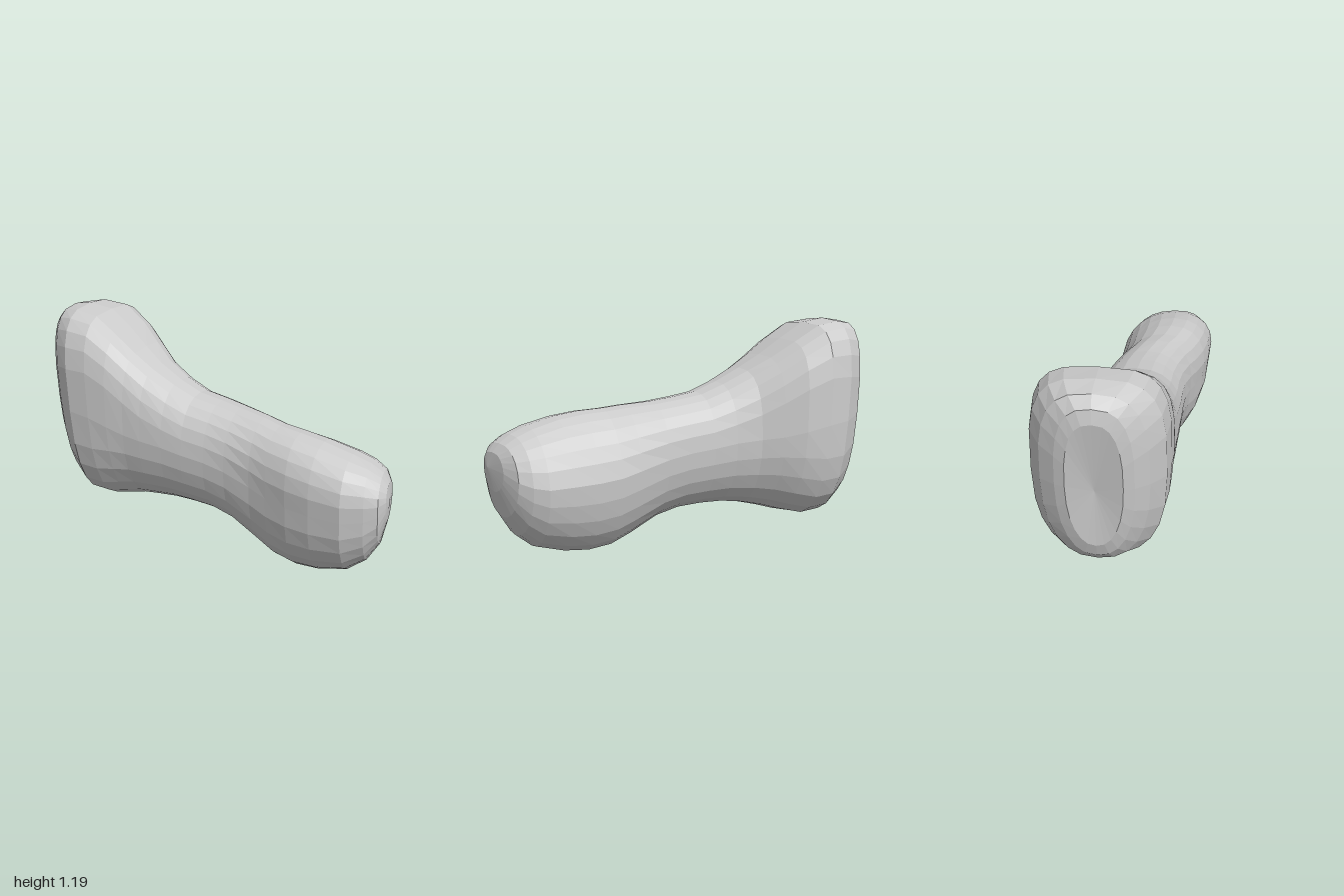
import * as THREE from 'three';

// Cross-sections along the bone:
// x, bottom, top, back, front, squareness of lower half, of upper half
const SECTIONS = [
  [-0.955, 0.34, 1.06, -0.21, 0.055, 2.2, 2.6],
  [-0.935, 0.26, 1.13, -0.26, 0.105, 2.3, 2.8],
  [-0.88, 0.19, 1.175, -0.335, 0.17, 2.4, 3],
  [-0.78, 0.13, 1.19, -0.395, 0.24, 2.6, 3.3],
  [-0.66, 0.12, 1.17, -0.41, 0.255, 2.5, 3.6],
  [-0.55, 0.14, 1.085, -0.37, 0.26, 2.2, 3.6],
  [-0.45, 0.165, 1.0, -0.31, 0.26, 2, 3.2],
  [-0.35, 0.185, 0.93, -0.25, 0.265, 2, 2.7],
  [-0.22, 0.20, 0.86, -0.215, 0.27, 2, 2.4],
  [-0.1, 0.20, 0.81, -0.195, 0.275, 2, 2.3],
  [0.03, 0.19, 0.788, -0.178, 0.278, 2, 2.3],
  [0.15, 0.155, 0.77, -0.16, 0.285, 2, 2.3],
  [0.3, 0.07, 0.755, -0.145, 0.305, 2, 2.2],
  [0.4, 0.02, 0.74, -0.135, 0.33, 2, 2.2],
  [0.52, 0, 0.73, -0.13, 0.365, 2, 2.2],
  [0.65, 0.01, 0.71, -0.125, 0.39, 2, 2.2],
  [0.8, 0.05, 0.67, -0.12, 0.40, 2, 2.3],
  [0.89, 0.12, 0.635, -0.09, 0.36, 2, 2.4],
  [0.95, 0.22, 0.595, -0.045, 0.325, 2, 2.4],
  [0.98, 0.35, 0.55, 0.055, 0.275, 2, 2.4],
];
const SIDES = 24;

// Superellipse ring; the large end leans with height, the small end's upper half
// twists forward and its tip slants toward the front
function ringPoint([x, bottom, top, back, front, nLower, nUpper], j) {
  const a = (j / SIDES) * Math.PI * 2;
  const n = Math.sin(a) < 0 ? nLower : nUpper;
  const power = (v) => Math.sign(v) * Math.abs(v) ** (2 / n);
  const widest = bottom + (top - bottom) * (0.5 + 0.05 * THREE.MathUtils.smoothstep(x, -0.5, -0.1));
  const dy = power(Math.sin(a)) * (Math.sin(a) < 0 ? widest - bottom : top - widest);
  const y = widest + dy;
  const z = (front + back) / 2 + power(Math.cos(a)) * (front - back) / 2;
  const lean = 0.085 * THREE.MathUtils.smoothstep(-x, 0.3, 0.85);
  const twist = 0.18 * THREE.MathUtils.smoothstep(x, 0, 0.5);
  const slant = 0.15 * THREE.MathUtils.smoothstep(x, 0.7, 0.95);
  return [x - lean * (y - 0.5) + slant * (z - 0.15), y, z + twist * Math.max(dy, 0)];
}

function boneGeometry() {
  const positions = [];
  const index = [];
  for (const section of SECTIONS) {
    for (let j = 0; j < SIDES; j++) positions.push(...ringPoint(section, j));
  }
  // Shallow hollow in the large end, blunt tip on the small end
  const hollow = positions.length / 3;
  positions.push(-0.94, 0.66, -0.08, 1.0, 0.47, 0.22);
  const last = (SECTIONS.length - 1) * SIDES;
  for (let j = 0; j < SIDES; j++) {
    const k = (j + 1) % SIDES;
    for (let i = 0; i < last; i += SIDES) {
      index.push(i + j, i + SIDES + j, i + k, i + k, i + SIDES + j, i + SIDES + k);
    }
    index.push(hollow, j, k, hollow + 1, last + k, last + j);
  }
  const geometry = new THREE.BufferGeometry();
  geometry.setAttribute('position', new THREE.Float32BufferAttribute(positions, 3));
  geometry.setIndex(index);
  geometry.computeVertexNormals();
  return geometry;
}

export function createModel() {
  const group = new THREE.Group();
  group.name = 'bone';
  const material = new THREE.MeshStandardMaterial({ color: 0xcccccc, flatShading: true });
  const body = new THREE.Mesh(boneGeometry(), material);
  body.name = 'boneBody';
  group.add(body);
  return group;
}
